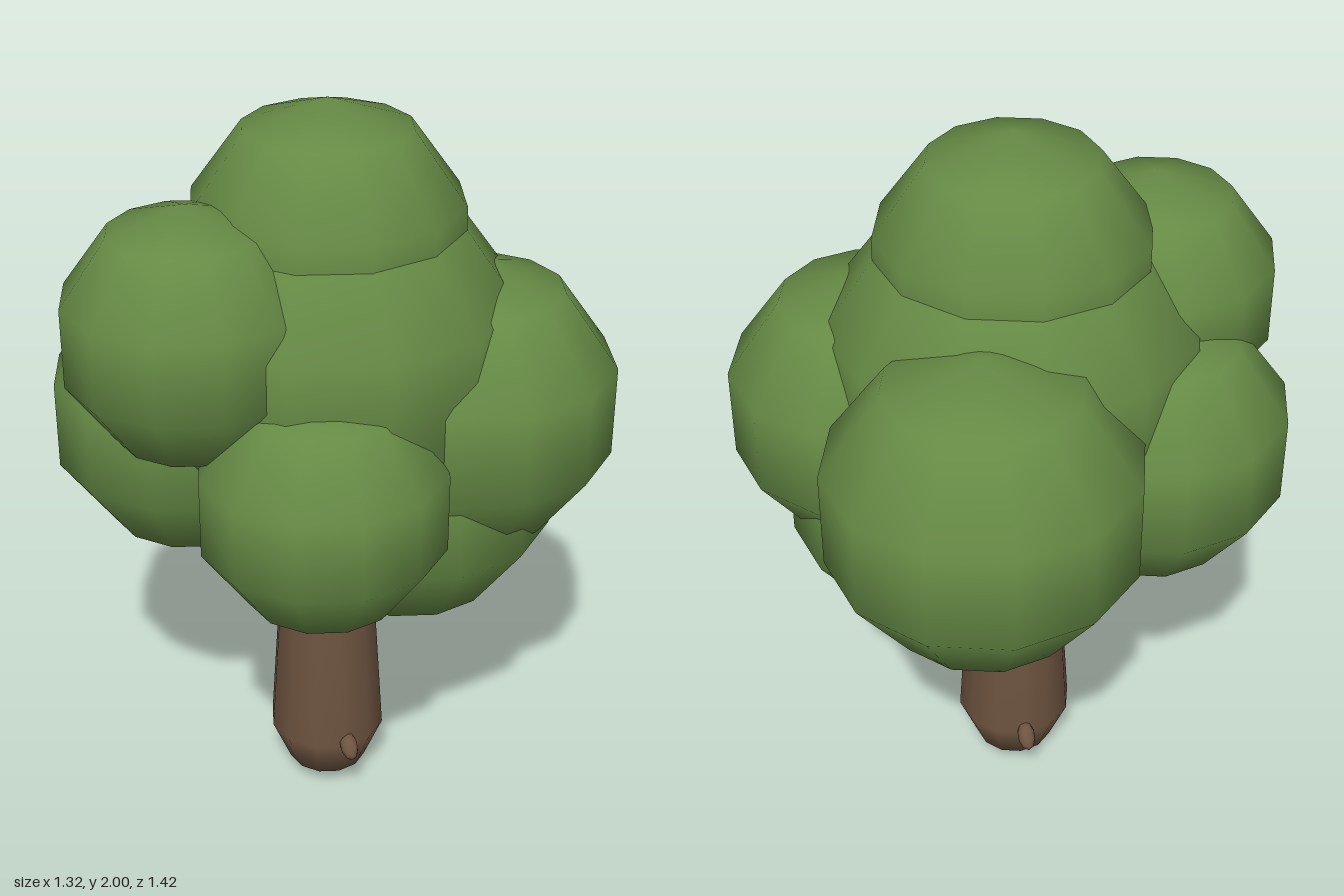
import * as THREE from 'three';

export function createModel() {
  const leaf = new THREE.MeshStandardMaterial({ color: 0x668a45 });
  leaf.name = 'leafGreen';
  const bark = new THREE.MeshStandardMaterial({ color: 0x6e5440 });
  bark.name = 'barkBrown';

  const tree = new THREE.Group();
  tree.name = 'tree';
  const add = (name, geometry, material, x, y, z) => {
    const mesh = new THREE.Mesh(geometry, material);
    mesh.name = name;
    mesh.position.set(x, y, z);
    tree.add(mesh);
    return mesh;
  };

  // Tapered trunk with a rounded foot and a closed top hidden in the leaves
  const profile = [
    [0, 0], [0.108, 0.05], [0.16, 0.175], [0.117, 0.85], [0.08, 0.96], [0, 1.0],
  ].map(([r, y]) => new THREE.Vector2(r, y));
  add('trunk', new THREE.LatheGeometry(profile, 12), bark, 0.003, 0, 0.016);

  // Small knots low on the trunk
  const knot = new THREE.SphereGeometry(1, 10, 6);
  for (const [name, side, x, z] of [['leftKnot', 1, 0.152, 0.09], ['rightKnot', -1, -0.15, -0.07]]) {
    const mesh = add(name, knot, bark, x, 0.18, z);
    mesh.scale.set(0.042, 0.025, 0.025);
    mesh.rotation.set(0, -0.5, -0.7 * side);
  }

  // Foliage: overlapping coarse spheres [name, x, y, z, radius]
  const clumps = [
    ['crownTop', 0.003, 1.634, 0.012, 0.366],
    ['crownCore', 0.003, 1.345, 0.01, 0.507],
    ['crownBase', 0.155, 0.98, -0.14, 0.4],
    ['backRightClump', -0.27, 1.23, -0.32, 0.415],
    ['backLeftClump', 0.29, 1.2, -0.225, 0.389],
    ['frontRightClump', -0.27, 1.162, 0.243, 0.372],
    ['frontLeftClump', 0.22, 1.08, 0.27, 0.331],
    ['frontUpperClump', -0.105, 1.478, 0.392, 0.331],
  ];
  for (const [name, x, y, z, r] of clumps) {
    add(name, new THREE.SphereGeometry(r, 12, 5), leaf, x, y, z);
  }
  return tree;
}
